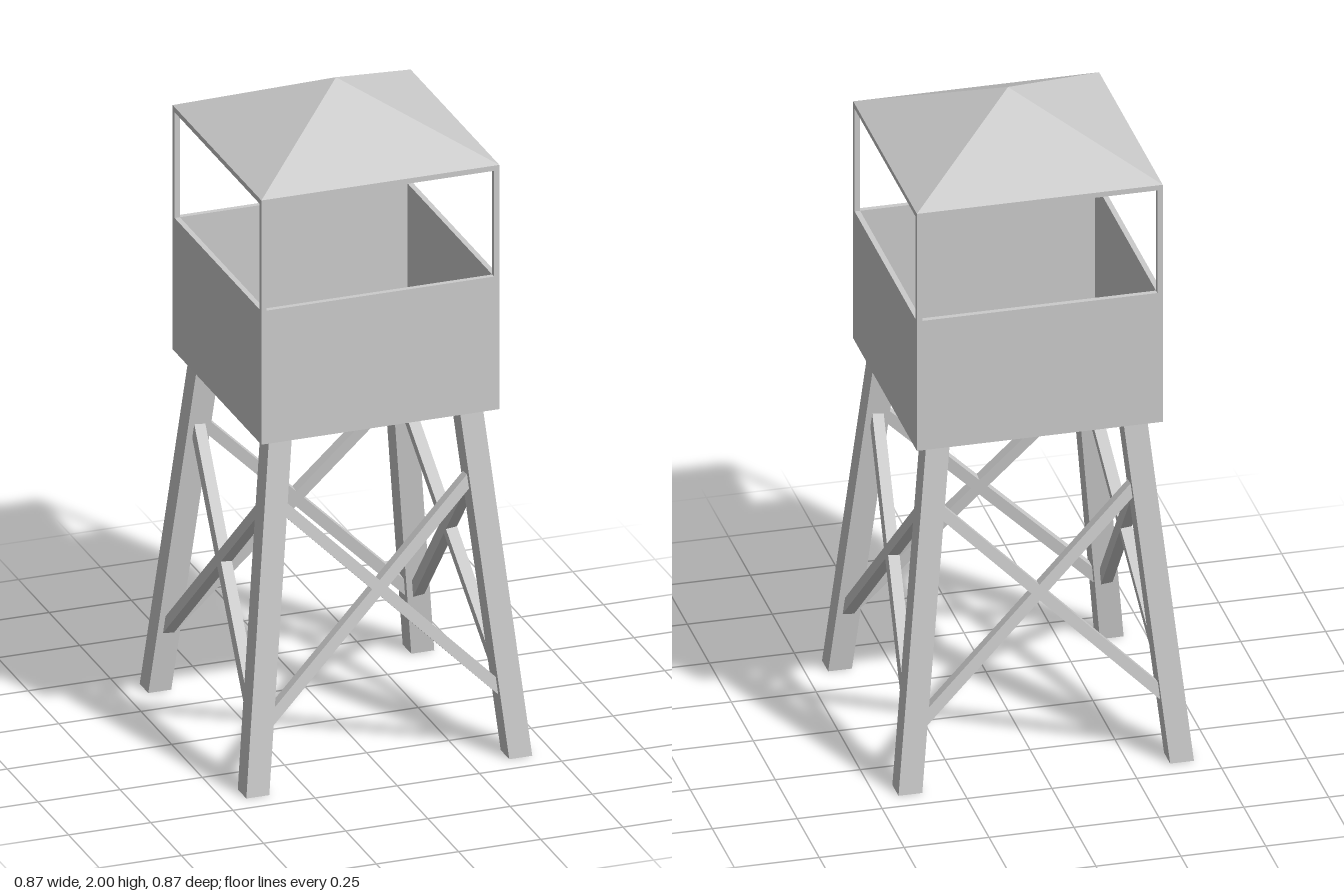
import * as THREE from 'three';

const material = new THREE.MeshStandardMaterial({ color: 0xcccccc, flatShading: true });
const HALF = 0.362;       // half width of cabin and roof
const FLOOR_Y = 1.06;     // underside of the cabin
const WALL = 0.016;       // wall, post and floor thickness
const SILL_Y = 1.475;     // top of the parapet
const EAVE_Y = 1.82;      // lower rim of the sloped roof
const LEG = 0.07;         // leg width
const LEG_FOOT = 0.4;     // leg centre at the ground
const LEG_HEAD = 0.29;    // leg centre under the cabin

// Centre line offset of a leg at height y
const legOffset = (y) => LEG_FOOT + (LEG_HEAD - LEG_FOOT) * (y / FLOOR_Y);

function addMesh(parent, name, geometry) {
  const mesh = new THREE.Mesh(geometry, material);
  mesh.name = name;
  parent.add(mesh);
  return mesh;
}

function addBox(parent, name, w, h, d, x, y, z) {
  const mesh = addMesh(parent, name, new THREE.BoxGeometry(w, h, d));
  mesh.position.set(x, y, z);
  return mesh;
}

// Box sheared inward so that its ends stay horizontal
function legGeometry(sx, sz) {
  const geometry = new THREE.BoxGeometry(LEG, FLOOR_Y, LEG);
  geometry.translate(0, FLOOR_Y / 2, 0);
  const p = geometry.attributes.position;
  for (let i = 0; i < p.count; i++) {
    const o = legOffset(p.getY(i));
    p.setX(i, p.getX(i) + sx * o);
    p.setZ(i, p.getZ(i) + sz * o);
  }
  geometry.computeVertexNormals();
  return geometry;
}

// Diagonal beam lying in the leaning plane between two legs
function addBrace(parent, side) {
  const low = 0.175, high = 0.865, size = 0.034;
  const a = new THREE.Vector3(side * legOffset(low), low, legOffset(low));
  const b = new THREE.Vector3(-side * legOffset(high), high, legOffset(high));
  const along = b.clone().sub(a);
  const length = along.length();
  along.normalize();
  const normal = new THREE.Vector3(0, LEG_FOOT - LEG_HEAD, FLOOR_Y).normalize();
  const across = new THREE.Vector3().crossVectors(along, normal).normalize();
  const mesh = addMesh(parent, 'brace', new THREE.BoxGeometry(size, length, size));
  mesh.quaternion.setFromRotationMatrix(new THREE.Matrix4().makeBasis(across, along, normal));
  mesh.position.copy(a).add(b).multiplyScalar(0.5);
}

export function createModel() {
  const model = new THREE.Group();
  model.name = 'watchtower';

  // Splayed legs and corner posts
  for (const sx of [-1, 1]) {
    for (const sz of [-1, 1]) {
      addMesh(model, 'leg', legGeometry(sx, sz));
      const c = HALF - WALL / 2;
      addBox(model, 'cornerPost', WALL, EAVE_Y - SILL_Y, WALL,
        sx * c, (EAVE_Y + SILL_Y) / 2, sz * c);
    }
  }

  // Cabin floor
  addBox(model, 'floor', 2 * HALF, WALL, 2 * HALF, 0, FLOOR_Y + WALL / 2, 0);

  // Each side: parapet wall, eave rail and crossed braces
  for (let i = 0; i < 4; i++) {
    const side = new THREE.Group();
    side.name = 'towerSide';
    side.rotation.y = (i * Math.PI) / 2;
    const wallH = SILL_Y - FLOOR_Y - WALL;
    addBox(side, 'wall', 2 * HALF - WALL, wallH, WALL,
      WALL / 2, SILL_Y - wallH / 2, HALF - WALL / 2);
    addBox(side, 'eaveRail', 2 * HALF - WALL, WALL, WALL,
      WALL / 2, EAVE_Y - WALL / 2, HALF - WALL / 2);
    addBrace(side, 1);
    addBrace(side, -1);
    model.add(side);
  }

  // Pyramid roof with a flat ceiling
  const roofH = 2 - EAVE_Y;
  const roof = addMesh(model, 'roof', new THREE.ConeGeometry(HALF * Math.SQRT2, roofH, 4));
  roof.rotation.y = Math.PI / 4;
  roof.position.y = EAVE_Y + roofH / 2;

  return model;
}
